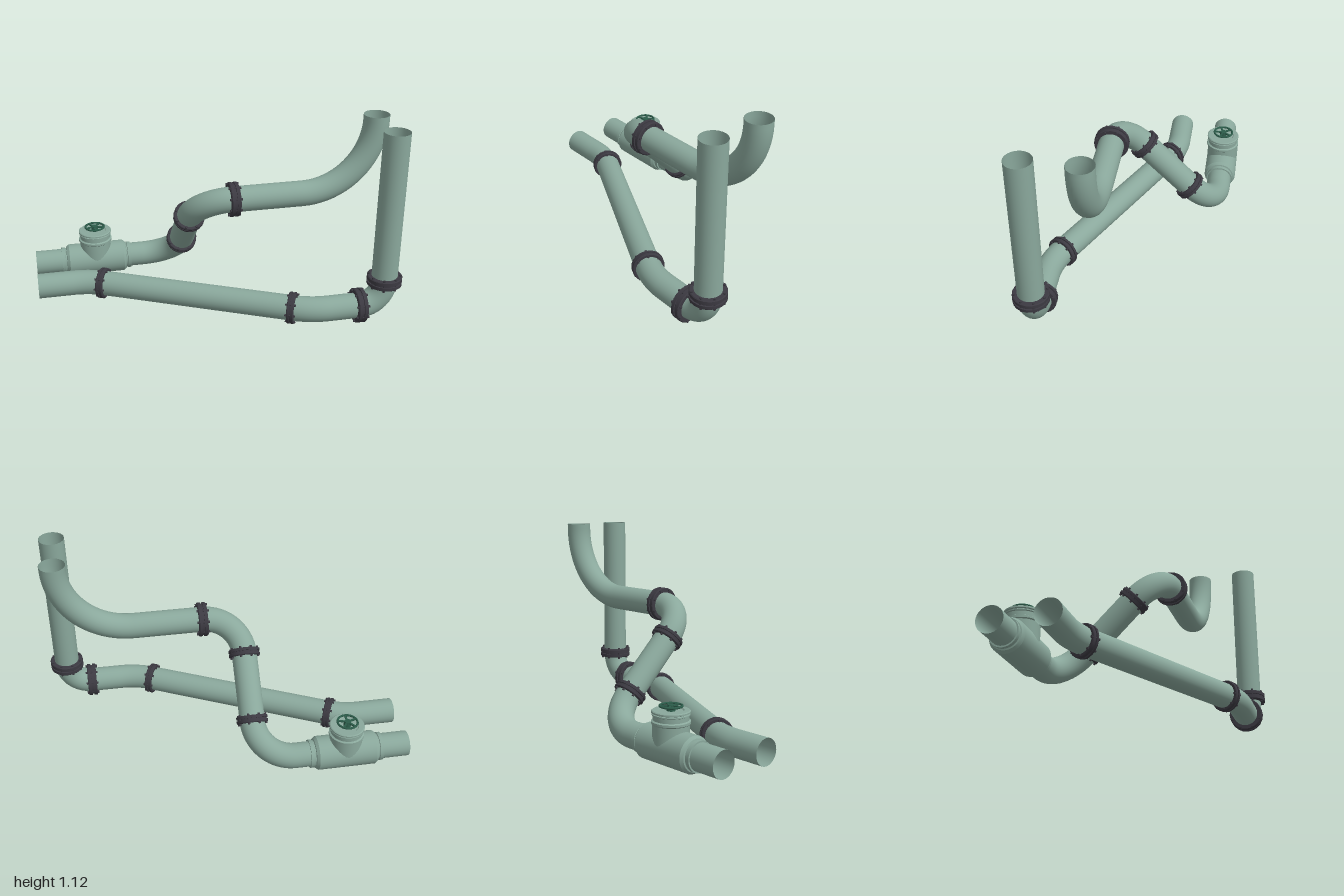
import * as THREE from 'three';
import { toCreasedNormals } from 'three/addons/utils/BufferGeometryUtils.js';

const R = 0.072; // pipe radius
const V = (x, y, z) => new THREE.Vector3(x, y, z);
const UP = V(0, 1, 0);
const paint = (color) => new THREE.MeshStandardMaterial({ color, side: THREE.DoubleSide });
const green = paint(0x8aa89c), dark = paint(0x3c3a42), wheelGreen = paint(0x2c5c4a);

function add(parent, name, geometry, material) {
  const mesh = new THREE.Mesh(geometry, material);
  mesh.name = name;
  parent.add(mesh);
  return mesh;
}

function lathe(profile, sides) {
  const pts = profile.map(([r, y]) => new THREE.Vector2(r, y));
  return toCreasedNormals(new THREE.LatheGeometry(pts, sides), 0.6);
}

// Pipe through corner points; each inner corner gets a round bend with the given tangent length
function pipeRun(name, points, tangents) {
  const run = new THREE.Group();
  run.name = name;
  let from = points[0];
  for (let i = 1; i < points.length; i++) {
    const corner = points[i];
    const din = corner.clone().sub(points[i - 1]).normalize();
    const t = tangents[i - 1] ?? 0;
    const start = corner.clone().addScaledVector(din, -t);
    add(run, 'straightPipe', new THREE.TubeGeometry(new THREE.LineCurve3(from, start), 1, R, 28), green);
    if (i === points.length - 1) break;
    const dout = points[i + 1].clone().sub(corner).normalize();
    const angle = din.angleTo(dout);
    const handle = (4 / 3) * Math.tan(angle / 4) * t / Math.tan(angle / 2);
    const end = corner.clone().addScaledVector(dout, t);
    const bend = new THREE.CubicBezierCurve3(start,
      start.clone().addScaledVector(din, handle), end.clone().addScaledVector(dout, -handle), end);
    add(run, 'bend', new THREE.TubeGeometry(bend, 20, R, 28), green);
    from = end;
  }
  return run;
}

// Bolted joint: two solid discs around a narrower gasket
function flange(position, direction, r, half) {
  const joint = new THREE.Group();
  joint.name = 'flange';
  const g = half * 0.2, c = 0.004;
  add(joint, 'flangeDiscs', lathe([[0, -half], [r - c, -half], [r, -half + c], [r, -g], [r - 0.008, -g],
    [r - 0.008, g], [r, g], [r, half - c], [r - c, half], [0, half]], 20), dark);
  for (let i = 0; i < 8; i++) {
    const a = (i + 0.5) * Math.PI / 4;
    const bolt = add(joint, 'bolt', new THREE.CylinderGeometry(0.007, 0.007, half * 2 + 0.018, 6), dark);
    bolt.position.set(Math.cos(a) * (r - 0.011), 0, Math.sin(a) * (r - 0.011));
  }
  joint.position.copy(position);
  joint.quaternion.setFromUnitVectors(UP, direction.clone().normalize());
  return joint;
}

function valve() {
  const group = new THREE.Group();
  group.name = 'valve';
  // Body along x with stepped collars
  const body = add(group, 'valveBody', lathe([[R, -0.21], [0.08, -0.21], [0.08, -0.19], [0.076, -0.188],
    [0.076, -0.182], [0.084, -0.18], [0.096, -0.165], [0.096, 0.165], [0.084, 0.18], [0.076, 0.182],
    [0.076, 0.188], [0.08, 0.19], [0.08, 0.21], [R, 0.21]], 32), green);
  body.rotation.z = -Math.PI / 2;
  // Upright neck and cap
  add(group, 'valveNeck', lathe([[0.093, 0], [0.093, 0.12], [0.099, 0.125], [0.099, 0.137], [0.09, 0.142],
    [0.09, 0.164], [0.096, 0.167], [0.096, 0.173], [0.091, 0.176], [0.098, 0.179], [0.098, 0.187],
    [0.093, 0.191], [0.066, 0.191], [0.062, 0.186], [0, 0.186]], 32), green);
  // Handwheel
  const wheel = new THREE.Group();
  wheel.name = 'handwheel';
  wheel.position.y = 0.211;
  const rim = add(wheel, 'wheelRim', new THREE.TorusGeometry(0.056, 0.006, 8, 32), wheelGreen);
  rim.rotation.x = Math.PI / 2;
  const stem = add(wheel, 'stem', new THREE.CylinderGeometry(0.018, 0.022, 0.034, 16), wheelGreen);
  stem.position.y = -0.011;
  for (let i = 0; i < 5; i++) {
    const a = i * Math.PI * 2 / 5 + Math.PI / 2;
    const spoke = add(wheel, 'spoke', new THREE.BoxGeometry(0.056, 0.007, 0.011), wheelGreen);
    spoke.position.set(Math.cos(a) * 0.028, 0, Math.sin(a) * 0.028);
    spoke.rotation.y = -a;
  }
  group.add(wheel);
  return group;
}

export function createModel() {
  const model = new THREE.Group();
  model.name = 'pipework';
  const y0 = 0.103;

  // Front line: low offset run, then a riser
  const a1 = V(-0.70, y0, -0.147), a2 = V(0.475, y0, 0.438), a3 = V(0.897, y0, 0.438);
  model.add(pipeRun('frontPipe', [V(-1, y0, -0.147), a1, a2, a3, V(0.897, 1.125, 0.438)], [0.1, 0.1, 0.14]));
  const slant = a2.clone().sub(a1).normalize();
  model.add(flange(a1.clone().addScaledVector(slant, 0.085), slant, 0.09, 0.02));
  model.add(flange(a2.clone().addScaledVector(slant, -0.105), slant, 0.09, 0.02));
  model.add(flange(V(0.755, y0, 0.438), V(1, 0, 0), 0.098, 0.027));
  model.add(flange(V(0.897, 0.253, 0.438), UP, 0.098, 0.027));

  // Rear line: valve, diagonal climb, then a wide sweep upward
  const b1 = V(-0.126, y0, -0.44), b2 = V(-0.126, 0.688, 0.146);
  model.add(pipeRun('rearPipe', [V(-1, y0, -0.44), b1, b2, V(0.897, 0.688, 0.146), V(0.897, 1.125, 0.146)],
    [0.22, 0.22, 0.41]));
  const climb = b2.clone().sub(b1).normalize();
  model.add(flange(b1.clone().addScaledVector(climb, 0.228), climb, 0.09, 0.021));
  model.add(flange(b2.clone().addScaledVector(climb, -0.217), climb, 0.09, 0.021));
  model.add(flange(V(0.094, 0.688, 0.146), V(1, 0, 0), 0.097, 0.026));

  const v = valve();
  v.position.set(-0.635, y0, -0.44);
  model.add(v);
  return model;
}
